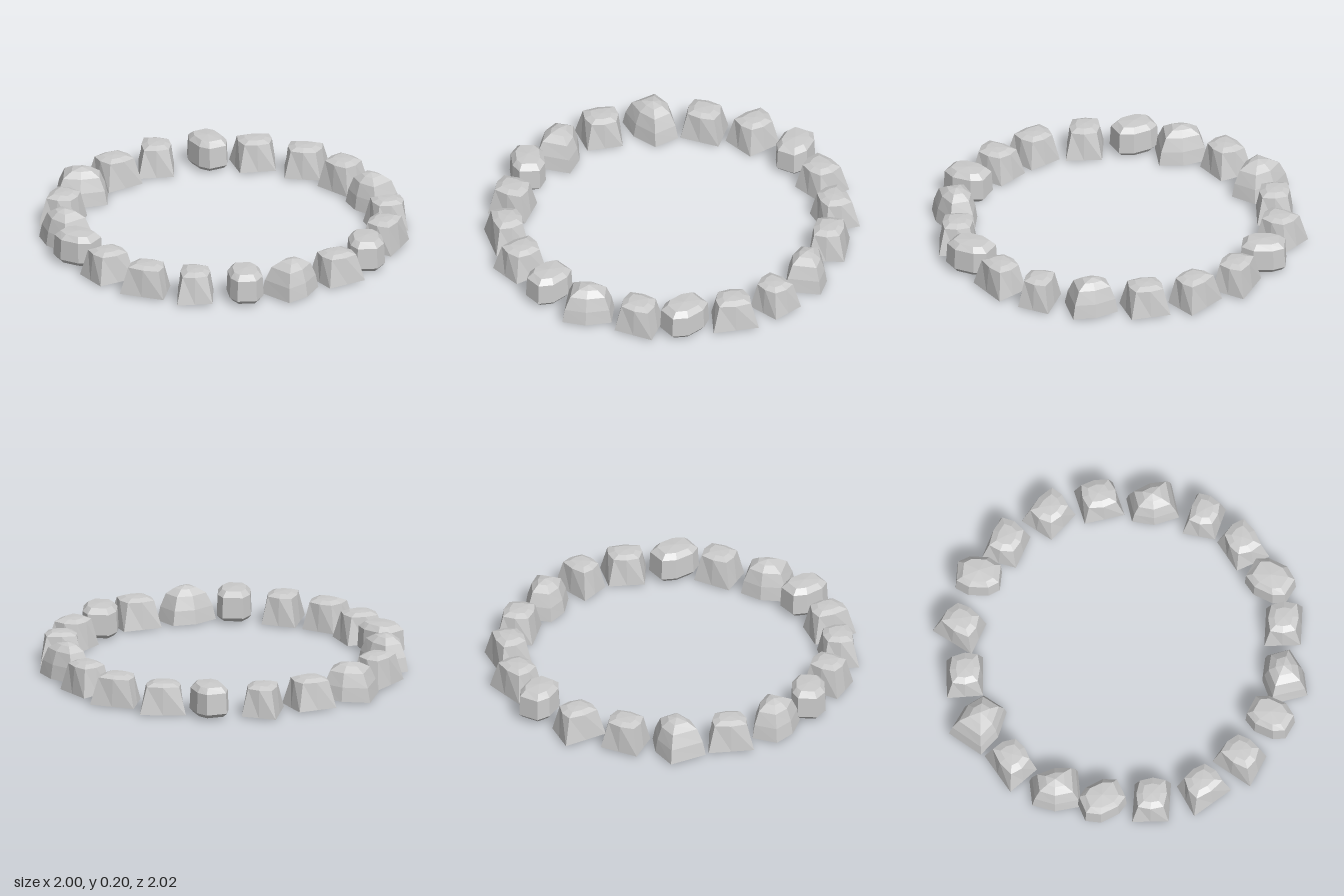
import * as THREE from 'three';

const material = new THREE.MeshStandardMaterial({ color: 0xcccccc, flatShading: true });

// Adds a midpoint on every side of an outline.
const withMidpoints = (pts) => pts.flatMap((p, i) => {
  const q = pts[(i + 1) % pts.length];
  return [p, [(p[0] + q[0]) / 2, (p[1] + q[1]) / 2]];
});

// Rock from stacked outlines: each ring is [y, scale of even points, scale of odd points].
function rockGeometry(outline, rings) {
  const n = outline.length;
  const at = ([y, even, odd], i) => {
    const k = i % n, s = k % 2 ? odd : even;
    return new THREE.Vector3(outline[k][0] * s, y, outline[k][1] * s);
  };
  const pos = [];
  const tri = (a, b, c) => {
    if (a.distanceTo(b) < 1e-5 || b.distanceTo(c) < 1e-5 || c.distanceTo(a) < 1e-5) return;
    for (const v of [a, b, c]) pos.push(v.x, v.y, v.z);
  };
  for (let r = 0; r < rings.length - 1; r++) {
    for (let i = 0; i < n; i++) {
      const a = at(rings[r], i), b = at(rings[r], i + 1);
      const c = at(rings[r + 1], i + 1), d = at(rings[r + 1], i);
      tri(a, d, c);
      tri(a, c, b);
    }
  }
  const geo = new THREE.BufferGeometry();
  geo.setAttribute('position', new THREE.Float32BufferAttribute(pos, 3));
  geo.computeVertexNormals();
  return geo;
}

// Flat-topped block: square foot, rounded upper rim
const blockRings = [[0, 0, 0], [0.008, 1, 1], [0.158, 0.7, 0.84], [0.173, 0.42, 0.5], [0.176, 0, 0]];
// Peaked boulder: six-sided foot, domed cap
const peakRings = [[0.005, 0, 0], [0.008, 1, 1], [0.085, 0.89, 0.9], [0.158, 0.68, 0.7], [0.188, 0.36, 0.38], [0.2, 0, 0]];
// Upright pebble: bevelled at foot and top
const pebbleRings = [[0.012, 0, 0], [0.014, 0.82, 0.82], [0.036, 1, 1], [0.15, 0.95, 0.95], [0.178, 0.68, 0.7], [0.184, 0, 0]];

// Outlines run from x towards z; placements are [x, z, turn in degrees, scale].
const kinds = {
  squareStone: {
    geo: rockGeometry(withMidpoints([[-0.09, -0.118], [0.123, -0.078], [0.105, 0.118], [-0.112, 0.078]]), blockRings),
    places: [[0.013, -0.877, 0, 1], [0.869, 0.021, 77, 1], [-0.024, 0.872, 3, 1], [-0.885, -0.021, 4, 1]],
  },
  wedgeStone: {
    geo: rockGeometry(withMidpoints([[-0.125, -0.096], [0.125, -0.096], [0.098, 0.096], [-0.098, 0.096]]), blockRings),
    places: [
      [0.302, -0.84, -46, 1], [0.725, -0.508, 35, 1], [0.847, -0.246, 53, 1],
      [0.669, 0.572, 30, 0.93], [0.473, 0.738, 158, 1], [-0.73, 0.503, -44, 1],
      [-0.856, 0.262, -116, 1], [-0.52, -0.72, -23, 1],
    ],
  },
  peakedStone: {
    geo: rockGeometry([[-0.13, -0.095], [0.01, -0.112], [0.125, -0.07], [0.13, 0.065], [0, 0.11], [-0.125, 0.098]], peakRings),
    places: [[0.802, 0.307, -90, 1], [-0.305, 0.818, -2, 1.04], [-0.714, -0.52, -83, 1.04], [-0.26, -0.846, 48, 1.1]],
  },
  pebbleStone: {
    geo: rockGeometry([[-0.118, -0.055], [-0.06, -0.09], [0.05, -0.095], [0.122, -0.06],
      [0.122, 0.055], [0.06, 0.09], [-0.05, 0.095], [-0.122, 0.05]], pebbleRings),
    places: [[0.553, -0.697, -75, 1], [0.227, 0.85, -50, 1.04], [-0.546, 0.7, -52, 1], [-0.845, -0.288, 76, 1]],
  },
};

export function createModel() {
  const ring = new THREE.Group();
  ring.name = 'stoneRing';
  for (const [name, { geo, places }] of Object.entries(kinds)) {
    places.forEach(([x, z, turn, s], i) => {
      const stone = new THREE.Mesh(geo, material);
      stone.name = `${name}${i + 1}`;
      stone.position.set(x, 0, z);
      stone.rotation.y = -THREE.MathUtils.degToRad(turn);
      stone.scale.set(s, 1, s);
      ring.add(stone);
    });
  }
  return ring;
}
